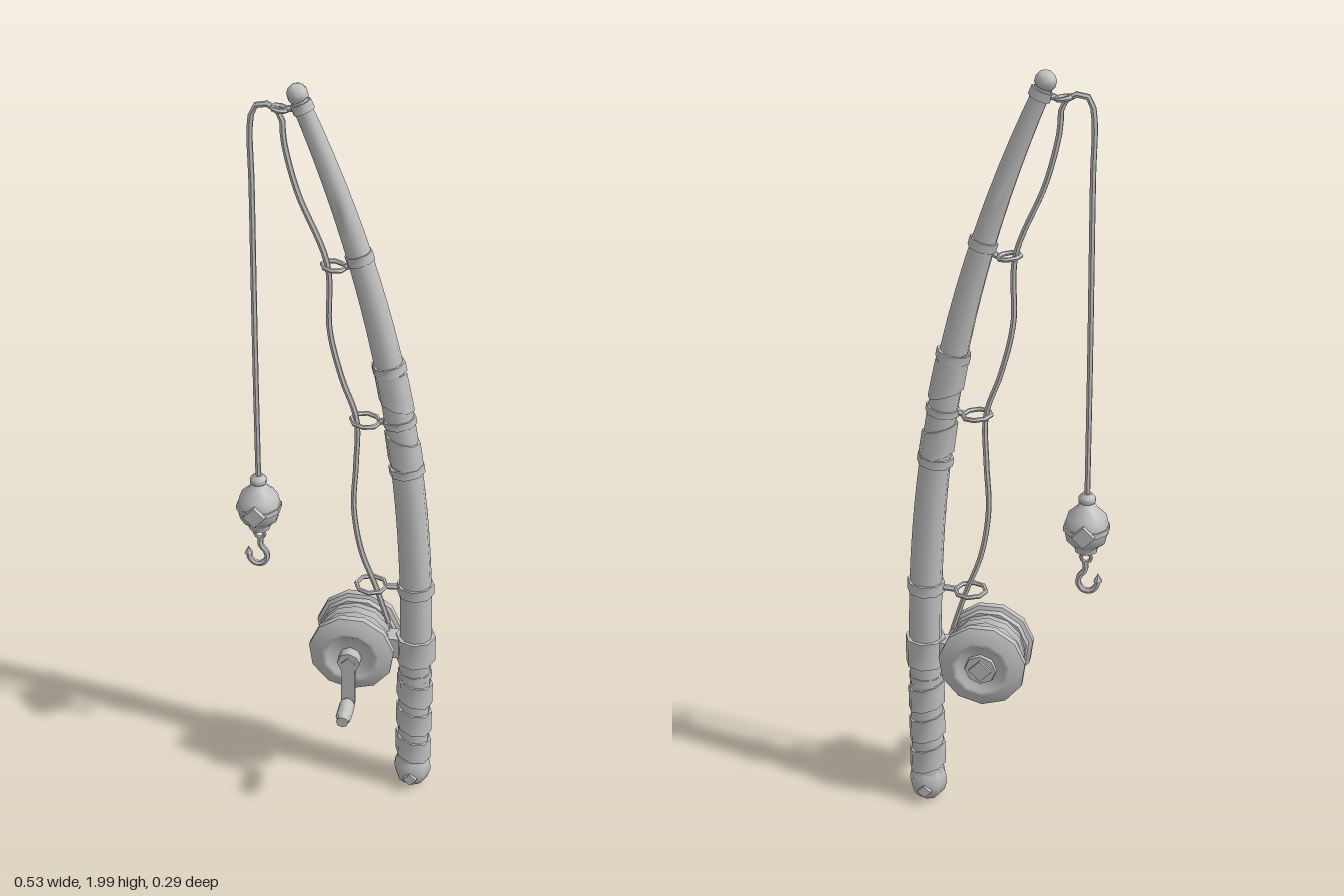
import * as THREE from 'three';
import { toCreasedNormals } from 'three/addons/utils/BufferGeometryUtils.js';

const Z = -0.052; // depth of the rod, line and float
const V = (x, y, z = Z) => new THREE.Vector3(x, y, z);

// Bend and taper of the rod, by height
const bend = (y) => 0.21 - 0.108 * Math.max(0, y - 0.4) ** 2.3;
const slope = (y) => -0.2484 * Math.max(0, y - 0.4) ** 1.3;
const rodRadius = (y) => 0.043 - 0.009 * Math.max(0, y - 0.4) ** 2;

export function createModel() {
  const model = new THREE.Group();
  const grey = new THREE.MeshStandardMaterial({ color: 0xc0c0c0 });
  grey.name = 'grey';

  function add(name, geo, x = 0, y = 0, z = 0, parent = model) {
    const mesh = new THREE.Mesh(toCreasedNormals(geo, 0.85), grey);
    mesh.name = name;
    mesh.position.set(x, y, z);
    parent.add(mesh);
    return mesh;
  }

  const lathe = (points, sides) =>
    new THREE.LatheGeometry(points.map(([r, y]) => new THREE.Vector2(r, y)), sides);

  // A cylinder bent along the rod; lean tilts its ends
  function sleeve(name, y0, y1, radius, lean = 0, steps = 1, sides = 8) {
    const geo = new THREE.CylinderGeometry(1, 1, 1, sides, steps);
    const p = geo.attributes.position;
    for (let i = 0; i < p.count; i++) {
      const h = y0 + (p.getY(i) + 0.5) * (y1 - y0);
      const r = typeof radius === 'function' ? radius(h) : radius;
      const a = p.getX(i) * r;
      const c = h + lean * p.getX(i);
      const s = slope(c);
      const len = Math.hypot(1, s);
      p.setXYZ(i, bend(c) + a / len, c - (a * s) / len, Z + p.getZ(i) * r);
    }
    return add(name, geo);
  }

  // Rod and its tip
  sleeve('rod', 0.08, 1.96, rodRadius, 0, 30, 10);
  sleeve('tipCollar', 1.935, 1.955, 0.027);
  add('tipBall', new THREE.SphereGeometry(0.026, 8, 6), bend(1.97), 1.974, Z);

  // Collars
  for (const [y, r, h] of [[1.585, 0.035, 0.022], [1.3, 0.043, 0.022], [1.155, 0.043, 0.018],
    [1.02, 0.046, 0.022], [0.66, 0.049, 0.03]]) {
    sleeve('collar', y - h / 2, y + h / 2, r);
  }

  // Slanted wraps in the middle of the rod
  sleeve('upperWrap', 1.2, 1.3, (y) => rodRadius(y) + 0.005, -0.02, 4);
  sleeve('lowerWrap', 1.03, 1.11, (y) => rodRadius(y) + 0.005, -0.02, 4);

  // Grip bands, reel seat and pommel
  for (const y of [0.14, 0.235, 0.33]) sleeve('gripBand', y - 0.033, y + 0.033, 0.049, -0.012);
  sleeve('gripTopBand', 0.375, 0.395, 0.046);
  sleeve('reelSeat', 0.43, 0.508, 0.053);
  add('pommel', lathe([[0, 0.008], [0.028, 0.012], [0.044, 0.03], [0.051, 0.055], [0.049, 0.08],
    [0.042, 0.1], [0, 0.1]], 8), 0.21, 0, Z);

  // Diamond stud running through a part along z
  function stud(name, x, y, z, side, depth, parent) {
    const mesh = add(name, new THREE.BoxGeometry(side, side, depth), x, y, z, parent);
    mesh.rotation.z = Math.PI / 4;
    return mesh;
  }
  stud('pommelStud', 0.21, 0.052, Z, 0.026, 0.112);

  // Line guides: a ring on a short stem, square to the rod
  for (const [y, x, ringY, r] of [[1.945, -0.137, 1.938, 0.018], [1.575, -0.012, 1.558, 0.028],
    [1.165, 0.068, 1.147, 0.036], [0.66, 0.088, 0.655, 0.04]]) {
    const ring = add('guideRing', new THREE.TorusGeometry(r, 0.006, 6, 8), x, ringY, Z);
    ring.rotation.set(Math.PI / 2, Math.atan(slope(y)) * 0.4, 0);
    const stem = new THREE.LineCurve3(V(x + r, ringY), V(bend(y), y));
    add('guideStem', new THREE.TubeGeometry(stem, 1, 0.008, 6));
  }

  // Fishing line from the reel, through the guides and down to the float
  const path = [[0.135, 0.54], [0.1, 0.65], [0.06, 0.76], [0.04, 0.89], [0.045, 1.02], [0.045, 1.15],
    [0.008, 1.26], [-0.022, 1.39], [-0.027, 1.56], [-0.098, 1.74], [-0.128, 1.86], [-0.135, 1.925],
    [-0.165, 1.947], [-0.195, 1.94], [-0.206, 1.9], [-0.206, 1.75], [-0.208, 1.3], [-0.208, 0.95]];
  const lineCurve = new THREE.CatmullRomCurve3(path.map(([x, y]) => V(x, y)));
  add('fishingLine', new THREE.TubeGeometry(lineCurve, 90, 0.0075, 6));

  // Float with band, caps and studs
  const float = new THREE.Group();
  float.name = 'float';
  float.position.set(-0.208, 0.865, Z);
  model.add(float);
  add('floatBody', lathe([[0, -0.07], [0.028, -0.066], [0.03, -0.052], [0.05, -0.035], [0.057, 0],
    [0.05, 0.033], [0.027, 0.055], [0.018, 0.068], [0.022, 0.072], [0.022, 0.083], [0.012, 0.094],
    [0, 0.094]], 10), 0, 0, 0, float);
  add('floatBand', new THREE.CylinderGeometry(0.059, 0.059, 0.014, 10), 0, 0, 0, float);
  stud('floatStud', 0, 0, 0, 0.04, 0.13, float);

  // Hook
  add('hookEye', new THREE.TorusGeometry(0.013, 0.005, 6, 8), -0.208, 0.78, Z);
  const hook = [[-0.206, 0.768], [-0.206, 0.745], [-0.192, 0.725], [-0.19, 0.705], [-0.203, 0.688],
    [-0.222, 0.687], [-0.236, 0.702], [-0.239, 0.722]];
  add('hook', new THREE.TubeGeometry(new THREE.CatmullRomCurve3(hook.map(([x, y]) => V(x, y))), 24, 0.008, 6));
  add('hookPoint', new THREE.ConeGeometry(0.012, 0.022, 6), -0.239, 0.726, Z);

  // Reel, turned about z
  const reel = new THREE.Group();
  reel.name = 'reel';
  reel.position.set(0.047, 0.473, Z);
  model.add(reel);
  const turned = (name, points, sides) =>
    add(name, lathe(points, sides).rotateX(Math.PI / 2), 0, 0, 0, reel);

  // Spool of wound line
  const spool = [[0, -0.05]];
  for (let i = 0; i <= 8; i++) spool.push([i % 2 ? 0.098 : 0.084, -0.05 + i * 0.0125]);
  turned('spool', [...spool, [0, 0.05]], 12);

  // Flanges, mirrored front and back
  const flange = [[0, 0.034], [0.1, 0.034], [0.104, 0.046], [0.114, 0.05], [0.114, 0.068],
    [0.078, 0.086], [0.068, 0.086], [0.062, 0.08], [0, 0.08]];
  turned('frontFlange', flange, 11);
  turned('backFlange', flange.map(([r, z]) => [r, -z]).reverse(), 11);
  turned('backHub', [[0, -0.088], [0.04, -0.088], [0.044, -0.075], [0, -0.075]], 8);
  stud('backStud', 0, 0, -0.085, 0.042, 0.02, reel);
  add('reelFoot', new THREE.BoxGeometry(0.1, 0.06, 0.05), 0.11, 0, 0, reel);

  // Crank arm and handle
  turned('crankHub', [[0, 0.075], [0.03, 0.075], [0.03, 0.11], [0, 0.11]], 8);
  stud('crankStud', 0, 0, 0.108, 0.026, 0.014, reel);
  add('crankArm', new THREE.BoxGeometry(0.036, 0.135, 0.016), 0, -0.065, 0.104, reel);
  turned('crankHandle', [[0, 0.105], [0.015, 0.105], [0.015, 0.118], [0.021, 0.122], [0.021, 0.178],
    [0.016, 0.183], [0.016, 0.198], [0, 0.198]], 8).position.y = -0.127;

  return model;
}
